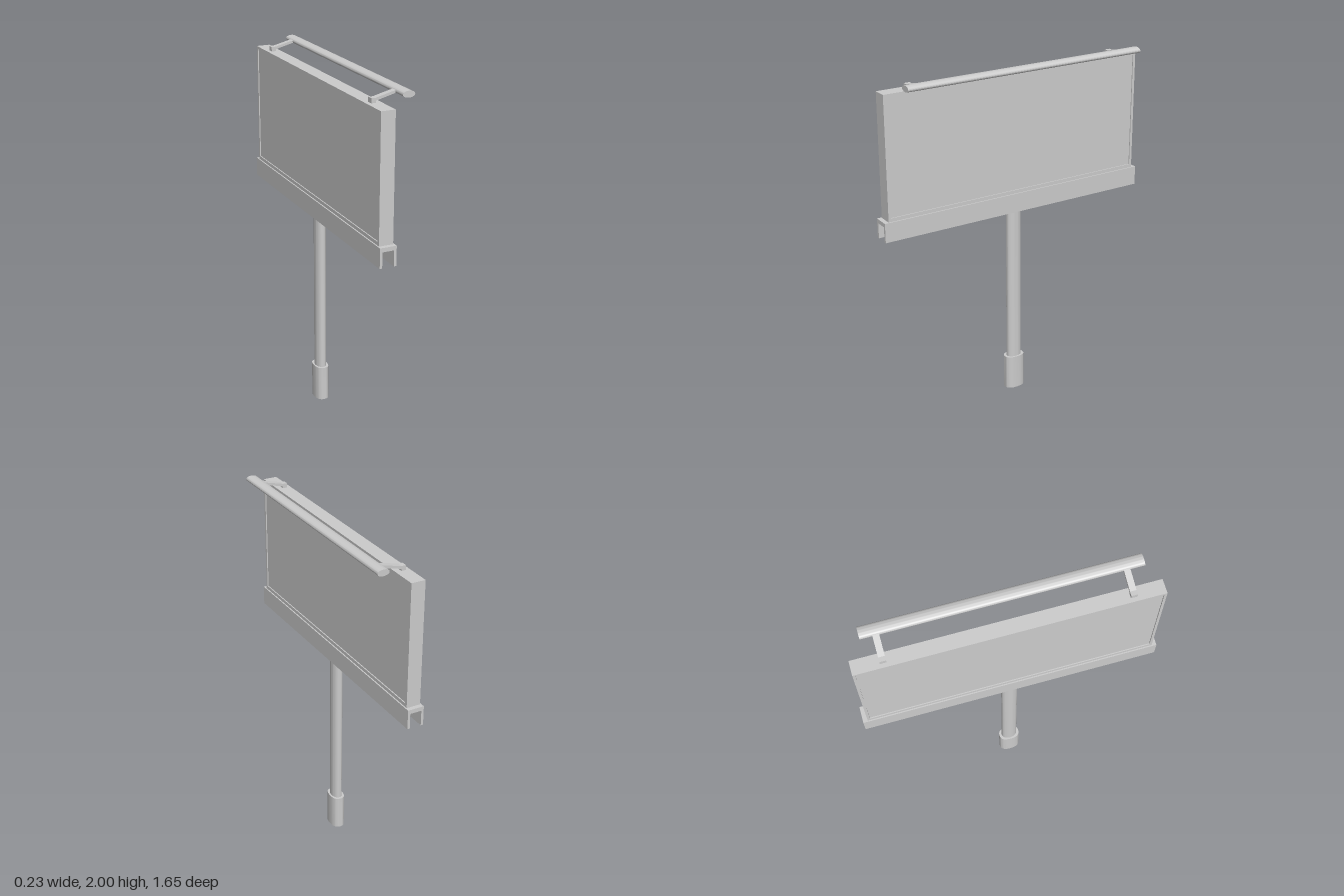
import * as THREE from 'three';
import { toCreasedNormals } from 'three/addons/utils/BufferGeometryUtils.js';

const material = new THREE.MeshStandardMaterial({ color: 0xcccccc });
const CX = -0.068; // centre plane of the board and post

function add(group, name, geometry, x = 0, y = 0, z = 0) {
  const mesh = new THREE.Mesh(geometry, material);
  mesh.name = name;
  mesh.position.set(x, y, z);
  group.add(mesh);
  return mesh;
}

function polygon(points) {
  return new THREE.Shape(points.map(([x, y]) => new THREE.Vector2(x, y)));
}

// Extrusion centred on its depth
function extrude(shape, depth) {
  const geometry = new THREE.ExtrudeGeometry(shape, { depth, bevelEnabled: false, curveSegments: 20 });
  return geometry.translate(0, 0, -depth / 2);
}

// Upright column with a rounded oblong section; power 2 is an ellipse, more is squarer
function column(rx, rz, height, power) {
  const points = [];
  for (let i = 0; i < 40; i++) {
    const a = (i / 40) * Math.PI * 2;
    const c = Math.cos(a), s = Math.sin(a);
    points.push([
      rx * Math.sign(c) * Math.abs(c) ** (2 / power),
      rz * Math.sign(s) * Math.abs(s) ** (2 / power),
    ]);
  }
  const geometry = extrude(polygon(points), height);
  geometry.rotateX(-Math.PI / 2).translate(0, height / 2, 0);
  return toCreasedNormals(geometry, 0.6);
}

export function createModel() {
  const model = new THREE.Group();
  model.name = 'billboard';

  // Post and base sleeve
  add(model, 'post', column(0.031, 0.046, 1.19, 2), CX);
  add(model, 'baseSleeve', column(0.04, 0.061, 0.205, 2.5), CX);

  // Downward-open channel carrying the board
  const channel = polygon([
    [-0.047, 1.13], [-0.033, 1.13], [-0.033, 1.217], [0.033, 1.217],
    [0.033, 1.13], [0.047, 1.13], [0.047, 1.24], [-0.047, 1.24],
  ]);
  add(model, 'supportChannel', extrude(channel, 1.655), CX);

  // Frame with a slightly recessed display on both sides
  const frame = polygon([[-0.802, 1.24], [0.802, 1.24], [0.802, 1.935], [-0.802, 1.935]]);
  frame.holes.push(polygon([[-0.787, 1.26], [-0.787, 1.92], [0.787, 1.92], [0.787, 1.26]]));
  add(model, 'boardFrame', extrude(frame, 0.08), CX).rotation.y = Math.PI / 2;
  add(model, 'displayPanel', new THREE.BoxGeometry(0.068, 0.66, 1.574), CX, 1.59);

  // Flattened lamp tube in front of the top edge
  const lampSection = new THREE.Shape();
  lampSection.absellipse(0, 0, 0.034, 0.0175, 0, Math.PI * 2);
  add(model, 'lampTube', toCreasedNormals(extrude(lampSection, 1.455), 0.6), 0.081, 1.982, 0.004);

  // Lamp arms: short foot and sloping bar in one profile
  const arm = polygon([
    [-0.085, 1.935], [-0.06, 1.935], [-0.06, 1.946], [0.06, 1.977],
    [0.06, 1.991], [-0.06, 1.961], [-0.085, 1.961],
  ]);
  for (const [name, z] of [['lampArmNear', 0.636], ['lampArmFar', -0.642]]) {
    add(model, name, extrude(arm, 0.034), 0, 0, z);
  }
  return model;
}
